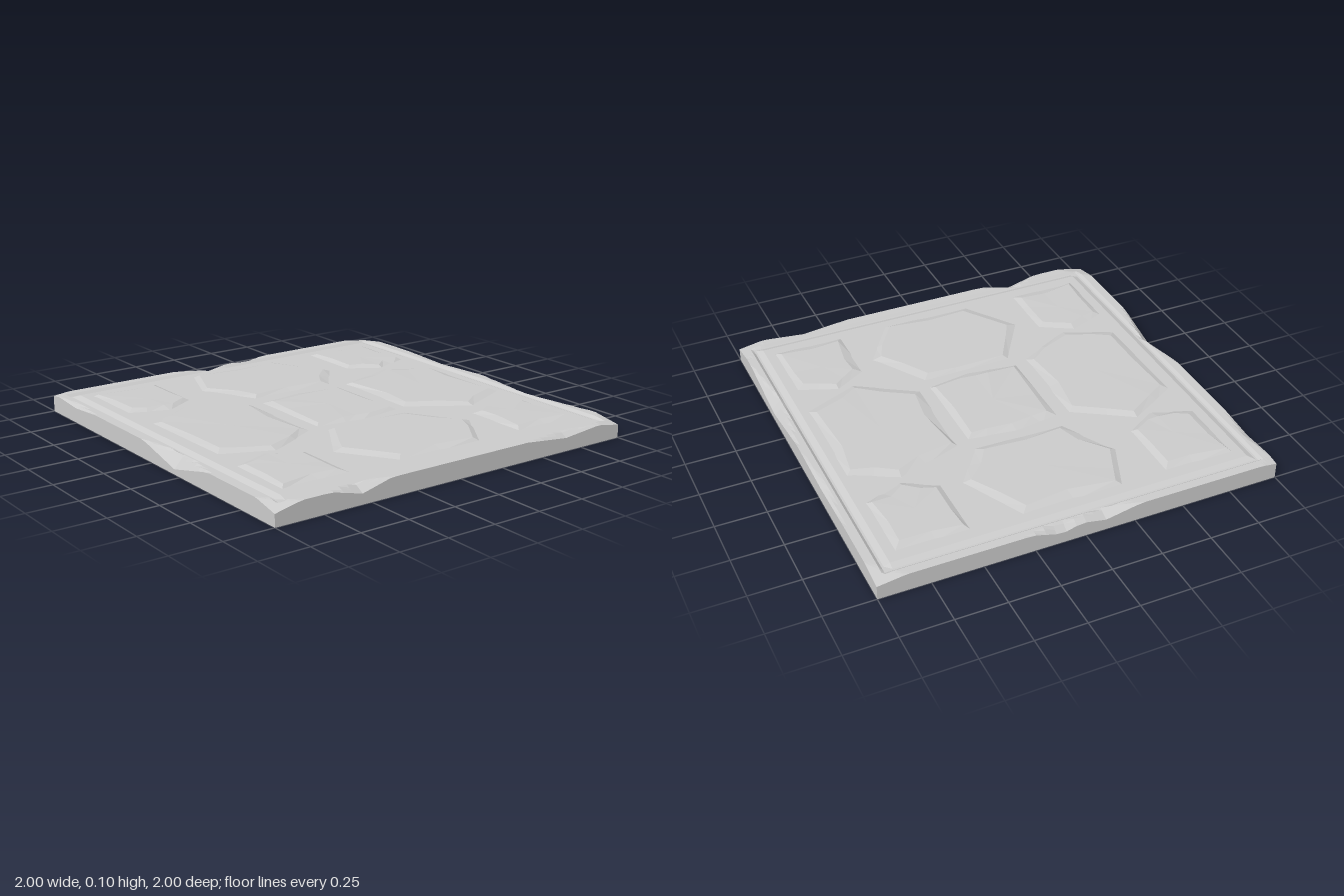
import * as THREE from 'three';

const material = new THREE.MeshStandardMaterial({ color: 0xcccccc, flatShading: true });
const FLOOR = 0.09, STONE_TOP = 0.104;

// Small seeded generator for the hand-cut irregularity
let seed = 7;
const rand = () => (seed = (seed * 16807) % 2147483647) / 2147483647;

// Broken edges: [side axis, side sign, centre along the edge, half length, lowest y, inward reach]
const chips = [
  ['z', -1, 0.42, 0.36, 0.035, 0.05], ['z', -1, -0.3, 0.3, 0.078, 0.03],
  ['z', 1, 0.2, 0.28, 0.025, 0.06], ['z', 1, -0.75, 0.2, 0.075, 0.03],
  ['x', 1, 0.55, 0.16, 0.05, 0.07], ['x', 1, -0.65, 0.25, 0.065, 0.04],
  ['x', -1, -0.12, 0.14, 0.05, 0.05], ['x', -1, 0.1, 0.18, 0.055, 0.08],
];
// Knocked-off corners: [x sign, z sign, y at the corner, reach]
const corners = [[1, 1, 0.06, 0.14], [1, -1, 0.065, 0.15], [-1, -1, 0.07, 0.14], [-1, 1, 0.08, 0.08]];

// Height of the slab top: flat rim, narrow groove, flat floor, minus the chips
function slabHeight(x, z) {
  const d = 1 - Math.max(Math.abs(x), Math.abs(z));
  let y = FLOOR;
  if (d > 0.045 && d < 0.1) y -= 0.012 * Math.min(1, (d - 0.045) / 0.015, (0.1 - d) / 0.03);
  for (const [axis, sign, c, half, low, reach] of chips) {
    const inward = 1 - sign * (axis === 'x' ? x : z);
    const along = Math.abs((axis === 'x' ? z : x) - c);
    y = Math.min(y, low + (FLOOR - low) * (inward / reach + along / half));
  }
  for (const [sx, sz, low, reach] of corners) {
    y = Math.min(y, low + (FLOOR - low) * (2 - sx * x - sz * z) / reach);
  }
  return y;
}

// Slab: a segmented box with lines gathered at the rim and a displaced top
function makeSlab() {
  const half = [0];
  for (let i = 1; i <= 17; i++) half.push(i * 0.05);
  half.push(0.88, 0.9, 0.93, 0.94, 0.955, 0.97, 0.985, 1);
  const n = half.length - 1;
  const line = t => Math.sign(t) * half[Math.round(Math.abs(t) * n)];
  const geo = new THREE.BoxGeometry(2, 1, 2, 2 * n, 1, 2 * n);
  const p = geo.attributes.position;
  for (let i = 0; i < p.count; i++) {
    const x = line(p.getX(i)), z = line(p.getZ(i));
    p.setXYZ(i, x, p.getY(i) > 0 ? slabHeight(x, z) : 0, z);
  }
  geo.computeVertexNormals();
  return new THREE.Mesh(geo, material);
}

// Paving stone: outline (clockwise from above) with an uneven bevel and flat top
function makeStone(outline) {
  const lower = [];
  outline.forEach(([x, z], i) => {
    const [nx, nz] = outline[(i + 1) % outline.length];
    const t = 0.35 + rand() * 0.3;
    lower.push([x, z], [x + (nx - x) * t, z + (nz - z) * t]);
  });
  const cx = lower.reduce((s, q) => s + q[0], 0) / lower.length;
  const cz = lower.reduce((s, q) => s + q[1], 0) / lower.length;
  const upper = lower.map(([x, z]) => {
    const r = Math.hypot(x - cx, z - cz);
    const k = 1 - (0.035 + rand() * 0.035) / r;
    return [cx + (x - cx) * k, STONE_TOP - rand() * 0.003, cz + (z - cz) * k];
  });
  const base = lower.map(([x, z]) => [x, FLOOR - 0.004, z]);
  const centre = [cx, STONE_TOP, cz];
  const v = [];
  for (let i = 0; i < base.length; i++) {
    const j = (i + 1) % base.length;
    v.push(...centre, ...upper[j], ...upper[i]);
    v.push(...upper[i], ...upper[j], ...base[j], ...upper[i], ...base[j], ...base[i]);
  }
  const geo = new THREE.BufferGeometry();
  geo.setAttribute('position', new THREE.Float32BufferAttribute(v, 3));
  geo.computeVertexNormals();
  return new THREE.Mesh(geo, material);
}

export function createModel() {
  const group = new THREE.Group();
  group.name = 'stoneFloorTile';
  const add = (name, mesh) => { mesh.name = name; group.add(mesh); };
  add('slab', makeSlab());

  // Hexagonal stones
  const stones = {
    backStone: [[-0.27, -0.87], [0.3, -0.87], [0.42, -0.59], [0.23, -0.29], [-0.27, -0.3], [-0.39, -0.64]],
    frontStone: [[-0.25, 0.29], [0.27, 0.29], [0.42, 0.59], [0.31, 0.84], [-0.28, 0.85], [-0.43, 0.58]],
    rightStone: [[-0.86, -0.25], [-0.53, -0.41], [-0.31, -0.25], [-0.32, 0.22], [-0.6, 0.37], [-0.85, 0.27]],
    leftStone: [[0.29, -0.25], [0.58, -0.43], [0.85, -0.25], [0.85, 0.23], [0.58, 0.41], [0.3, 0.23]],
    middleStone: [[-0.25, -0.25], [0.24, -0.25], [0.28, 0], [0.24, 0.24], [-0.25, 0.24], [-0.29, 0]],
  };
  for (const [name, outline] of Object.entries(stones)) add(name, makeStone(outline));

  // Corner stones, mirrored four ways
  const corner = [[0.48, 0.86], [0.4, 0.66], [0.5, 0.49], [0.85, 0.49], [0.85, 0.86]];
  for (const sx of [1, -1]) for (const sz of [1, -1]) {
    const outline = corner.map(([x, z]) => [sx * x, sz * z]);
    if (sx * sz < 0) outline.reverse();
    add(`${sz > 0 ? 'front' : 'back'}${sx > 0 ? 'Left' : 'Right'}CornerStone`, makeStone(outline));
  }
  return group;
}
